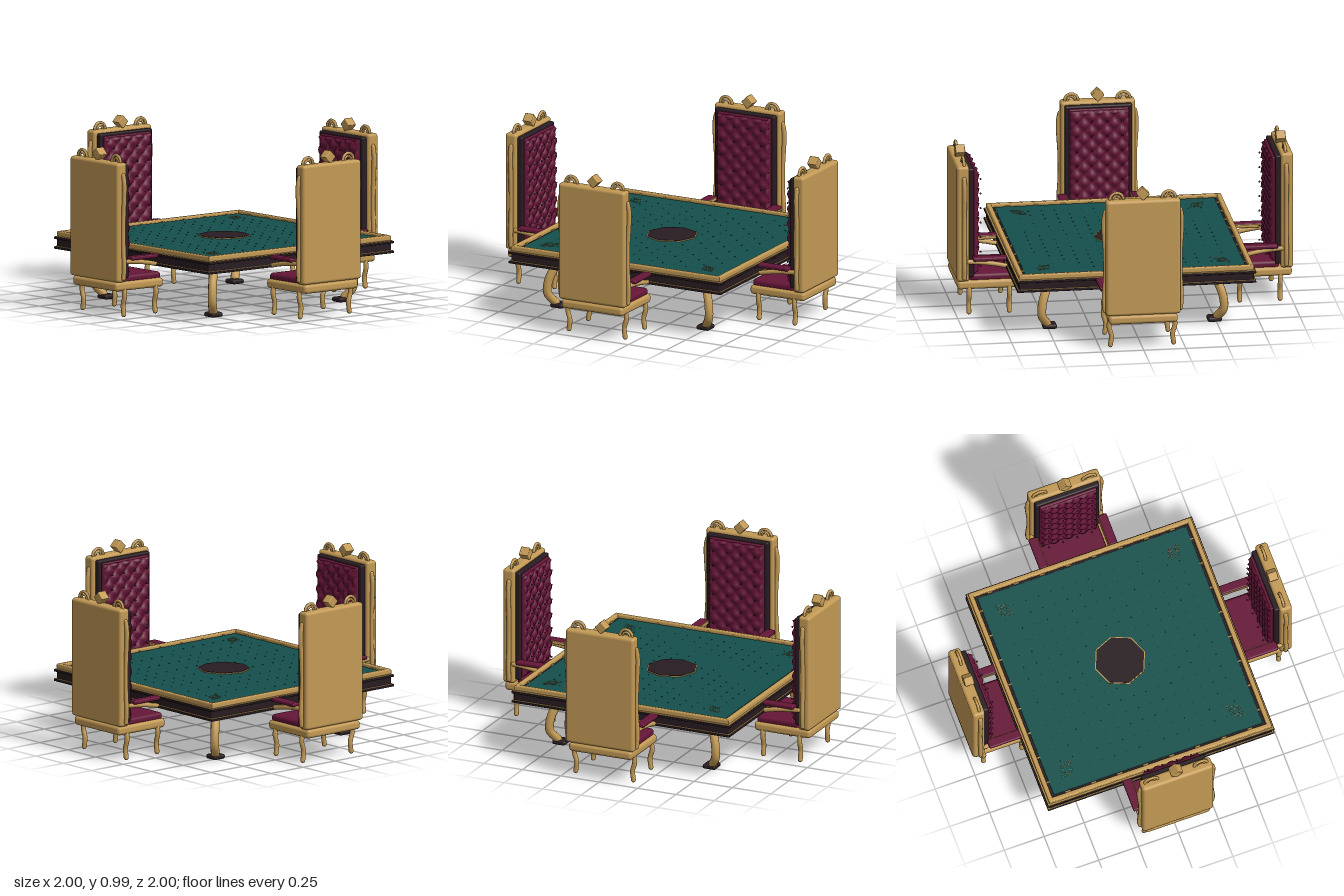
import * as THREE from 'three';
import { RoundedBoxGeometry } from 'three/addons/geometries/RoundedBoxGeometry.js';
import { mergeGeometries } from 'three/addons/utils/BufferGeometryUtils.js';

const paint = (color) => new THREE.MeshStandardMaterial({ color });
const gold = paint(0xc39a55);
const maroon = paint(0x651537);
const darkWood = paint(0x281c21);
const felt = paint(0x14504c);
const feltDark = paint(0x0c302f);

function add(parent, name, geometry, material, x = 0, y = 0, z = 0) {
  const mesh = new THREE.Mesh(geometry, material);
  mesh.name = name;
  mesh.position.set(x, y, z);
  parent.add(mesh);
  return mesh;
}

// Rounded box given by its extents on each axis
function slab(parent, name, material, [x0, x1], [y0, y1], [z0, z1], r = 0.01) {
  const geo = new RoundedBoxGeometry(x1 - x0, y1 - y0, z1 - z0, 3, r);
  return add(parent, name, geo, material, (x0 + x1) / 2, (y0 + y1) / 2, (z0 + z1) / 2);
}

function tube(parent, name, material, points, radius) {
  const curve = new THREE.CatmullRomCurve3(points.map((p) => new THREE.Vector3(...p)));
  add(parent, name, new THREE.TubeGeometry(curve, 20, radius, 10), material);
  // Rounded ends
  for (const p of [points[0], points[points.length - 1]]) {
    add(parent, name + 'End', new THREE.SphereGeometry(radius, 10, 8), material, ...p);
  }
}

// Square ring lying flat, with slightly bevelled edges
function squareFrame(parent, name, material, outer, inner, y0, y1, bevel) {
  const square = (path, s) => path.moveTo(-s, -s).lineTo(s, -s).lineTo(s, s).lineTo(-s, s).closePath();
  const shape = square(new THREE.Shape(), outer - bevel);
  shape.holes.push(square(new THREE.Path(), inner + bevel));
  const geo = new THREE.ExtrudeGeometry(shape, {
    depth: y1 - y0 - 2 * bevel, bevelEnabled: true, bevelSize: bevel, bevelThickness: bevel, bevelSegments: 3,
  });
  geo.rotateX(-Math.PI / 2);
  add(parent, name, geo, material, 0, y0 + bevel, 0);
}

// Diamond-tufted pad, facing -z
function tuftedPad(w, h, depth, pitch) {
  const geo = new THREE.PlaneGeometry(w, h, 32, 56);
  const pos = geo.attributes.position;
  for (let i = 0; i < pos.count; i++) {
    const x = pos.getX(i), y = pos.getY(i);
    const u = Math.sin((Math.PI * (x + y)) / pitch), v = Math.sin((Math.PI * (x - y)) / pitch);
    const edge = Math.abs(x) > w / 2 - 1e-4 || Math.abs(y) > h / 2 - 1e-4;
    pos.setZ(i, edge ? -0.005 : depth * Math.sqrt(Math.abs(u * v)));
  }
  geo.computeVertexNormals();
  return geo.rotateY(Math.PI);
}

// Armchair standing on the +z side and facing the centre
function createChair() {
  const chair = new THREE.Group();
  chair.name = 'chair';

  slab(chair, 'seatFrame', gold, [-0.205, 0.205], [0.16, 0.215], [0.63, 0.995], 0.02);
  slab(chair, 'seatCushion', maroon, [-0.19, 0.19], [0.205, 0.25], [0.64, 0.92], 0.018);
  slab(chair, 'backFrame', gold, [-0.222, 0.222], [0.215, 0.925], [0.925, 1], 0.018);
  slab(chair, 'backPanel', darkWood, [-0.2, 0.2], [0.235, 0.905], [0.895, 0.935], 0.01);
  slab(chair, 'backPadBase', maroon, [-0.178, 0.178], [0.25, 0.89], [0.88, 0.905], 0.008);
  add(chair, 'backPadTufting', tuftedPad(0.355, 0.63, 0.024, 0.09), maroon, 0, 0.57, 0.882);

  // Buttons over the tufting
  const buttons = [];
  for (let r = 0; r < 7; r++) {
    for (let c = -1.5; c <= 1.5; c++) {
      buttons.push(new THREE.SphereGeometry(0.006, 8, 6).translate(c * 0.09, 0.28 + r * 0.09, 0.848));
    }
  }
  add(chair, 'backButtons', mergeGeometries(buttons), maroon);

  // Crest: diamond block between two scrolls
  const crest = add(chair, 'crestBlock', new RoundedBoxGeometry(0.056, 0.056, 0.058, 2, 0.005), gold, 0, 0.957, 0.953);
  crest.rotation.z = Math.PI / 4;

  for (const s of [-1, 1]) {
    for (const [R, t] of [[0.04, 0.009], [0.022, 0.007]]) {
      add(chair, 'crestScroll', new THREE.TorusGeometry(R, t, 8, 28), gold, s * 0.155, 0.925, 0.955);
    }
    tube(chair, 'sideRail', gold, [
      [s * 0.222, 0.85, 0.957], [s * 0.232, 0.8, 0.957], [s * 0.222, 0.58, 0.957],
      [s * 0.222, 0.45, 0.957], [s * 0.23, 0.3, 0.957], [s * 0.224, 0.24, 0.957],
    ], 0.014);

    // Arm pad on a sloping support
    slab(chair, 'armPad', maroon, [s * 0.2175 - 0.0275, s * 0.2175 + 0.0275], [0.343, 0.366], [0.705, 0.905], 0.008);
    tube(chair, 'armSupport', gold, [
      [s * 0.217, 0.337, 0.93], [s * 0.217, 0.33, 0.85], [s * 0.217, 0.318, 0.77], [s * 0.217, 0.305, 0.71],
    ], 0.014);
    slab(chair, 'armPiping', gold, [s * 0.19 - 0.004, s * 0.19 + 0.004], [0.34, 0.36], [0.71, 0.9], 0.003);

    // Gently curved legs
    for (const z of [0.685, 0.925]) {
      tube(chair, 'chairLeg', gold, [
        [s * 0.19, 0.18, z], [s * 0.196, 0.13, z], [s * 0.182, 0.075, z], [s * 0.188, 0.018, z],
      ], 0.0145);
    }
  }
  return chair;
}

function createTable() {
  const table = new THREE.Group();
  table.name = 'table';

  slab(table, 'tableBody', darkWood, [-0.7, 0.7], [0.29, 0.365], [-0.7, 0.7], 0.008);
  slab(table, 'tableDeck', darkWood, [-0.67, 0.67], [0.36, 0.378], [-0.67, 0.67], 0.003);
  slab(table, 'feltSurface', felt, [-0.655, 0.655], [0.365, 0.384], [-0.655, 0.655], 0.003);
  squareFrame(table, 'tableRim', gold, 0.698, 0.67, 0.365, 0.398, 0.008);
  squareFrame(table, 'upperLedge', darkWood, 0.71, 0.66, 0.35, 0.364, 0.003);
  squareFrame(table, 'lowerLedge', darkWood, 0.71, 0.66, 0.292, 0.306, 0.003);
  squareFrame(table, 'trimLine', gold, 0.706, 0.68, 0.361, 0.367, 0.001);
  squareFrame(table, 'lowerTrimLine', gold, 0.706, 0.68, 0.305, 0.309, 0.001);

  // Octagonal centre with gold edge
  add(table, 'centreEdge', new THREE.CylinderGeometry(0.157, 0.157, 0.006, 8), gold, 0, 0.385, 0);
  add(table, 'centreInlay', new THREE.CylinderGeometry(0.151, 0.151, 0.006, 8), darkWood, 0, 0.387, 0);

  // Small inlays inside the rim
  const inlays = [];
  for (let i = -3.5; i <= 3.5; i++) {
    for (const s of [-1, 1]) {
      inlays.push(new THREE.BoxGeometry(0.008, 0.008, 0.03).translate(s * 0.664, 0.382, i * 0.163));
      inlays.push(new THREE.BoxGeometry(0.008, 0.008, 0.03).translate(i * 0.163, 0.382, s * 0.664));
    }
  }
  add(table, 'rimInlays', mergeGeometries(inlays), gold);

  // Dotted pattern on the felt
  const dots = [];
  for (let i = -7; i <= 7; i++) {
    for (let j = -7; j <= 7; j++) {
      if (Math.hypot(i, j) * 0.078 < 0.17) continue;
      dots.push(new THREE.CylinderGeometry(0.004, 0.004, 0.002, 6).translate(i * 0.078, 0.3845, j * 0.078));
    }
  }
  add(table, 'feltDots', mergeGeometries(dots), feltDark);

  for (const sx of [-1, 1]) {
    for (const sz of [-1, 1]) {
      // Thin nested diamond ornament in each corner
      for (const R of [0.06, 0.032]) {
        const ring = new THREE.TorusGeometry(R, 0.0018, 4, 4).scale(1, 0.6, 1).rotateX(-Math.PI / 2);
        const ornament = add(table, 'cornerOrnament', ring, gold, sx * 0.53, 0.3845, sz * 0.53);
        ornament.rotation.y = -sx * sz * Math.PI / 4;
      }
      // Bowed leg leaning along the diagonal
      const path = [[0.47, 0.31], [0.505, 0.25], [0.535, 0.17], [0.54, 0.09], [0.505, 0.03]];
      tube(table, 'tableLeg', gold, path.map(([d, y]) => [sx * d, y, sz * d]), 0.026);
      slab(table, 'tableFoot', darkWood, [sx * 0.49 - 0.042, sx * 0.49 + 0.042], [0, 0.028],
        [sz * 0.49 - 0.042, sz * 0.49 + 0.042], 0.012);
    }
  }
  return table;
}

export function createModel() {
  const model = new THREE.Group();
  model.name = 'tableWithFourChairs';
  model.add(createTable());
  for (let k = 0; k < 4; k++) {
    const chair = createChair();
    chair.rotation.y = (k * Math.PI) / 2;
    model.add(chair);
  }
  return model;
}
